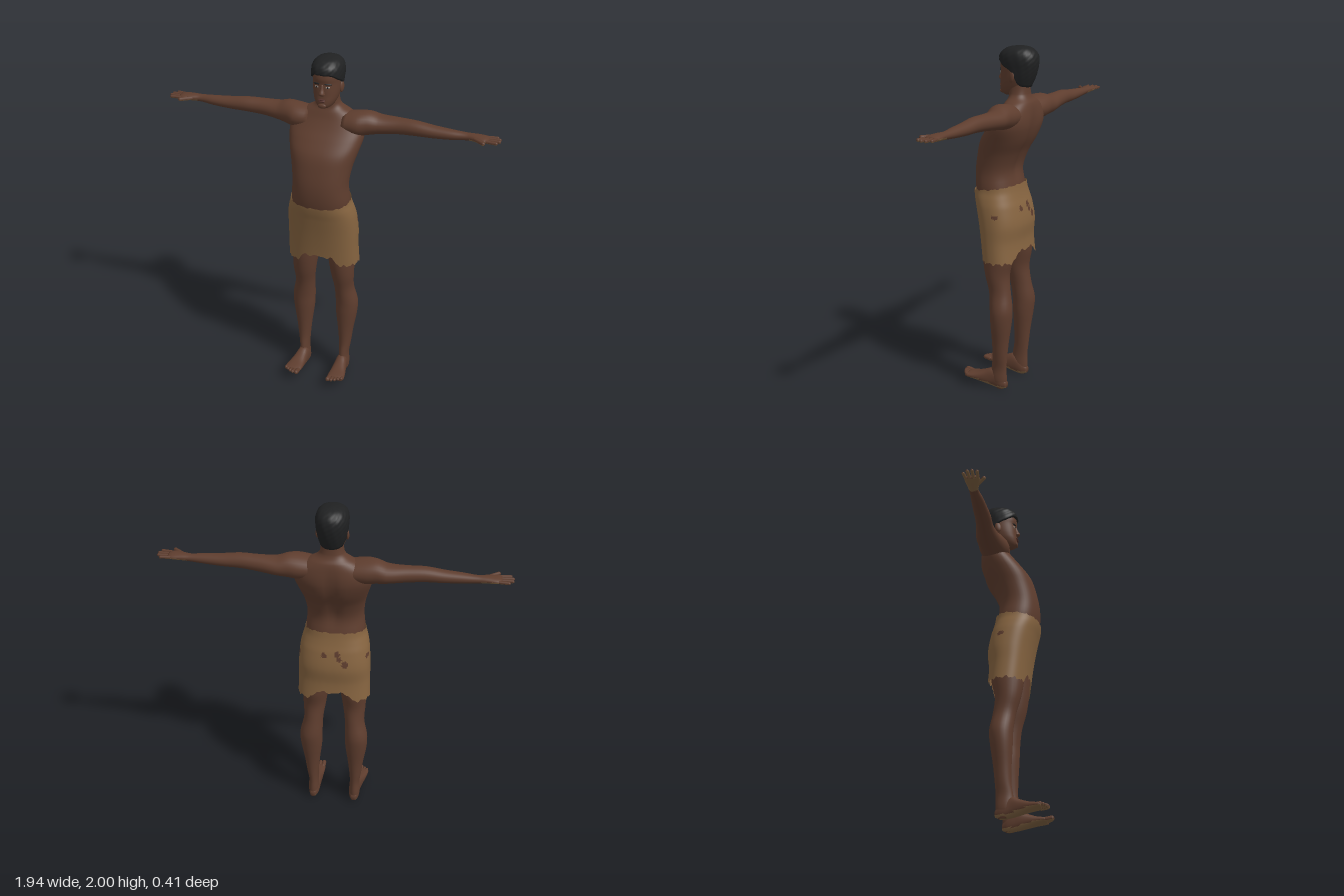
import * as THREE from 'three';

const mat = (name, color) => Object.assign(new THREE.MeshStandardMaterial({ color }), { name });
const pow = (v, e) => Math.sign(v) * Math.abs(v) ** e;
const mix = THREE.MathUtils.lerp;
const smooth = THREE.MathUtils.smoothstep;

// Smooth interpolation of a table of sections by its first column
function rowAt(rows, v) {
  let i = 0;
  while (i < rows.length - 2 && v > rows[i + 1][0]) i++;
  const a = rows[i], b = rows[i + 1], p = rows[i - 1] || a, q = rows[i + 2] || b;
  const h = b[0] - a[0], t = THREE.MathUtils.clamp((v - a[0]) / h, 0, 1);
  return a.map((_, k) => {
    if (k === 0) return v;
    const m0 = (b[k] - p[k]) / (b[0] - p[0]) * h, m1 = (q[k] - a[k]) / (q[0] - a[0]) * h;
    const t2 = t * t, t3 = t2 * t;
    return (2 * t3 - 3 * t2 + 1) * a[k] + (t3 - 2 * t2 + t) * m0 + (3 * t2 - 2 * t3) * b[k] + (t3 - t2) * m1;
  });
}

// Skin over closed rings; point(u, angle) gives a position. Ends are capped on request
function skinRings(us, seg, point, cap = true) {
  const pos = [], idx = [], n = us.length;
  for (const u of us) for (let j = 0; j < seg; j++) pos.push(...point(u, j / seg * Math.PI * 2));
  for (let i = 0; i < n - 1; i++) for (let j = 0; j < seg; j++) {
    const a = i * seg + j, b = i * seg + (j + 1) % seg;
    idx.push(a, a + seg, b, b, a + seg, b + seg);
  }
  if (cap) for (const r of [0, n - 1]) {
    const c = [0, 0, 0], k = pos.length / 3;
    for (let j = 0; j < seg; j++) for (let d = 0; d < 3; d++) c[d] += pos[(r * seg + j) * 3 + d] / seg;
    pos.push(...c);
    for (let j = 0; j < seg; j++) {
      const a = r * seg + j, b = r * seg + (j + 1) % seg;
      r ? idx.push(a, k, b) : idx.push(a, b, k);
    }
  }
  // Turn the faces outward
  const P = k => new THREE.Vector3().fromArray(pos, k * 3);
  const mid = new THREE.Vector3();
  for (let k = 0; k < pos.length / 3; k++) mid.addScaledVector(P(k), 3 / pos.length);
  let vol = 0;
  for (let k = 0; k < idx.length; k += 3)
    vol += P(idx[k]).sub(mid).dot(P(idx[k + 1]).sub(mid).cross(P(idx[k + 2]).sub(mid)));
  if (vol < 0) idx.reverse();
  const g = new THREE.BufferGeometry();
  g.setAttribute('position', new THREE.Float32BufferAttribute(pos, 3));
  g.setIndex(idx);
  g.computeVertexNormals();
  return g;
}

function loft(rows, seg, ring) {
  const us = [];
  for (let i = 0; i < rows.length - 1; i++) for (let k = 0; k < 4; k++) us.push(mix(rows[i][0], rows[i + 1][0], k / 4));
  us.push(rows.at(-1)[0]);
  return skinRings(us, seg, (u, a) => ring(rowAt(rows, u), Math.cos(a), Math.sin(a)));
}

// Split faces into two material groups by a rule on face centre and normal
function paint(g, rule) {
  const p = g.attributes.position, id = g.index.array, lists = [[], []];
  const tri = new THREE.Triangle(), c = new THREE.Vector3(), n = new THREE.Vector3();
  for (let k = 0; k < id.length; k += 3) {
    tri.setFromAttributeAndIndices(p, id[k], id[k + 1], id[k + 2]);
    tri.getMidpoint(c); tri.getNormal(n);
    lists[rule(c, n) ? 1 : 0].push(id[k], id[k + 1], id[k + 2]);
  }
  g.setIndex([...lists[0], ...lists[1]]);
  g.addGroup(0, lists[0].length, 0);
  g.addGroup(lists[0].length, lists[1].length, 1);
  return g;
}

// Finger or toe between two points
function digit(a, b, r) {
  const A = new THREE.Vector3(...a), d = new THREE.Vector3(...b).sub(A), len = d.length();
  const g = new THREE.CapsuleGeometry(r, len - r, 4, 10);
  g.applyQuaternion(new THREE.Quaternion().setFromUnitVectors(new THREE.Vector3(0, 1, 0), d.clone().normalize()));
  const c = A.addScaledVector(d, 0.5 - r / len / 2);
  return g.translate(c.x, c.y, c.z);
}

// Sections: height, half width, back z, front z
const TORSO = [[1.1, .16, -.1, .125], [1.2, .168, -.095, .148], [1.3, .16, -.082, .152], [1.4, .173, -.115, .135],
  [1.48, .195, -.16, .11], [1.55, .213, -.185, .06], [1.6, .213, -.19, .02], [1.65, .185, -.185, -.012],
  [1.69, .13, -.175, -.03], [1.715, .085, -.16, -.04], [1.74, .066, -.152, -.04], [1.8, .06, -.15, -.03]];
const HEAD = [[1.726, .022, -.06, -.005], [1.74, .043, -.11, .016], [1.77, .061, -.14, .02], [1.8, .07, -.155, .017],
  [1.83, .075, -.175, .016], [1.87, .078, -.186, .014], [1.9, .079, -.19, .018], [1.94, .075, -.185, .008],
  [1.97, .058, -.16, -.02], [1.985, .03, -.13, -.05]];
const HAIR = [[1.77, .066, -.158, .02], [1.83, .08, -.184, .024], [1.88, .086, -.199, .024], [1.92, .089, -.204, .024],
  [1.955, .084, -.197, .017], [1.98, .068, -.175, -.01], [1.993, .045, -.15, -.04], [2, .01, -.115, -.095]];
const SKIRT = [[.78, .21, -.146, .086], [.9, .206, -.137, .1], [1, .205, -.145, .116], [1.1, .197, -.13, .137],
  [1.15, .186, -.116, .15], [1.19, .174, -.107, .157], [1.24, .17, -.1, .157]];
// Limb sections: arm = x, centre y, half height, centre z, half depth
const ARM = [[.1, 1.63, .06, -.09, .08], [.18, 1.633, .07, -.09, .087], [.24, 1.638, .066, -.1, .076],
  [.3, 1.635, .053, -.11, .067], [.4, 1.64, .046, -.11, .05], [.5, 1.643, .042, -.103, .045], [.6, 1.638, .035, -.102, .04],
  [.7, 1.637, .028, -.102, .033], [.78, 1.638, .021, -.105, .025], [.83, 1.64, .02, -.1, .033],
  [.88, 1.64, .017, -.095, .042], [.905, 1.64, .01, -.095, .036]];
// Leg = y, inner x, outer x, back z, front z; foot = z, inner x, outer x, bottom, top
const LEG = [[.005, .11, .145, -.065, -.02], [.02, .1, .15, -.077, 0], [.06, .095, .158, -.082, .02], [.13, .098, .155, -.08, .015],
  [.2, .095, .165, -.085, .005], [.3, .085, .178, -.095, .006], [.42, .07, .198, -.112, .012], [.5, .068, .2, -.118, .015],
  [.6, .065, .179, -.101, .028], [.7, .05, .184, -.09, .055], [.8, .035, .186, -.11, .072], [.95, .015, .185, -.12, .08]];
const FOOT = [[-.083, .11, .142, .015, .05], [-.05, .095, .155, .002, .09], [0, .09, .158, .008, .125], [.05, .088, .168, .02, .107],
  [.1, .086, .18, .035, .089], [.15, .086, .188, .047, .079], [.168, .092, .184, .052, .073]];

const oval = e => ([y, rx, zb, zf], c, s) => [rx * pow(c, e), y, (zb + zf) / 2 + (zf - zb) / 2 * pow(s, e)];
const box = (a, b, t) => (a + b) / 2 + (b - a) / 2 * t;

export function createModel() {
  const skin = mat('skin', 0x5e3d2e), pale = mat('palmAndSole', 0x7d6040), cloth = mat('cloth', 0x866440);
  const black = mat('hair', 0x202122), white = mat('eyeWhite', 0x9a8f86), lip = mat('lips', 0x52302a);
  cloth.side = THREE.DoubleSide;
  const model = new THREE.Group();
  const add = (name, g, m) => {
    const mesh = new THREE.Mesh(g, m);
    mesh.name = name;
    model.add(mesh);
    return mesh;
  };

  // Torso with a spine groove
  add('torso', loft(TORSO, 48, (r, c, s) => {
    const p = oval(.88)(r, c, s);
    if (s < 0) p[2] += .016 * Math.exp(-((p[0] / .035) ** 2)) * smooth(r[0], 1.2, 1.35) * (1 - smooth(r[0], 1.55, 1.7));
    return p;
  }), skin);

  // Head, ears and face
  add('head', loft(HEAD, 40, oval(.9)), skin);
  const faceZ = (x, y) => {
    const [, rx, zb, zf] = rowAt(HEAD, y);
    return (zb + zf) / 2 + (zf - zb) / 2 * (1 - Math.abs(x / rx) ** (2 / .9)) ** .45;
  };
  const blob = (name, m, x, y, dz, sx, sy, sz, tilt = 0) => {
    const b = add(name, new THREE.SphereGeometry(1, 14, 10), m);
    b.position.set(x, y, faceZ(x, y) + dz);
    b.scale.set(sx, sy, sz);
    b.rotation.set(0, Math.atan2(x, .09), tilt);
  };
  const nose = [[1.804, .006, 0, .02], [1.81, .018, 0, .031], [1.82, .017, 0, .037], [1.84, .011, 0, .027], [1.868, .008, 0, .016]];
  add('nose', loft(nose, 16, oval(1)), skin);
  blob('upperLip', lip, 0, 1.783, 0, .023, .005, .007);
  blob('lowerLip', lip, 0, 1.774, 0, .021, .006, .007);
  blob('chin', skin, 0, 1.747, -.004, .024, .015, .01);
  for (const s of [1, -1]) {
    blob('eye', white, s * .031, 1.853, -.002, .013, .006, .005);
    blob('iris', black, s * .031, 1.853, .001, .005, .005, .004);
    blob('eyebrow', black, s * .033, 1.871, 0, .021, .005, .005, s * -.08);
    const ear = add('ear', new THREE.SphereGeometry(1, 14, 10), skin);
    ear.position.set(s * .079, 1.835, -.085);
    ear.scale.set(.01, .032, .019);
    ear.rotation.set(-.15, s * -.3, 0);
  }

  // Short hair with a hairline falling from brow to nape
  const line = [[-1, 1.775], [-.4, 1.795], [0, 1.862], [.5, 1.895], [.85, 1.922], [1, 1.925]];
  const steps = n => Array.from({ length: n + 1 }, (_, i) => i / n);
  add('hair', skinRings(steps(24), 56, (t, a) => {
    const s = Math.sin(a), y = mix(rowAt(line, s)[1], 2, 1 - (1 - t) ** 1.6);
    const p = oval(.9)(rowAt(HAIR, y), Math.cos(a), s);
    const bump = 1 + .018 * Math.sin(a * 14 + y * 90) * Math.sin(y * 130);
    return [p[0] * bump, y, -.09 + (p[2] + .09) * bump];
  }), black);

  // Worn wrap with a ragged hem, higher between the legs, and small holes at the back
  const holes = [[.045, 1.09, -.13, .014], [-.03, 1.1, -.13, .016], [-.045, 1.07, -.13, .013], [-.075, 1.04, -.12, .018],
    [.2, 1.06, -.05, .011], [-.195, 1.07, -.06, .012]];
  const wrap = skinRings(steps(44), 120, (t, a) => {
    const c = Math.cos(a), s = Math.sin(a);
    const rag = .006 * Math.sin(a * 17) + .004 * Math.sin(a * 31 + 1);
    const hem = .79 + .055 * (1 - smooth(Math.abs(c), .3, .6)) + rag;
    const y = mix(hem, 1.205 - .02 * s + rag * .4, t);
    return oval(.85)(rowAt(SKIRT, y), c, s);
  }, false);
  add('wrap', paint(wrap, p => holes.some(([x, y, z, r]) =>
    Math.hypot(p.x - x, (p.y - y) * .8, (p.z - z) * .4) < r)), [cloth, skin]);

  // Limbs, mirrored
  const fingers = [[.885, -.127, .95, -.134, .0085], [.89, -.107, .968, -.109, .009], [.89, -.086, .97, -.083, .009],
    [.885, -.065, .958, -.056, .009], [.83, -.075, .893, -.026, .0105]];
  const toes = [[.101, .207, .0135], [.123, .205, .01], [.142, .197, .0095], [.16, .185, .009], [.176, .172, .009]];
  const under = (p, n) => n.y < -.2 && Math.abs(p.x) > .8;
  for (const s of [1, -1]) {
    const side = s > 0 ? 'left' : 'right';
    add(side + 'Arm', paint(loft(ARM, 28, ([x, y, h, z, d], c, q) => [s * x, y + h * q, z + d * c]), under), [skin, pale]);
    for (const [x0, z0, x1, z1, r] of fingers)
      add(side + 'Finger', paint(digit([s * x0, 1.64, z0], [s * x1, 1.641, z1], r), under), [skin, pale]);
    add(side + 'Leg', loft(LEG, 28, ([y, x0, x1, zb, zf], c, q) => [s * box(x0, x1, c), y, box(zb, zf, q)]), skin);
    const sole = (p, n) => n.y < -.35;
    add(side + 'Foot', paint(loft(FOOT, 28, ([z, x0, x1, y0, y1], c, q) =>
      [s * box(x0, x1, pow(c, .85)), box(y0, y1, pow(q, .85)), z]), sole), [skin, pale]);
    for (const [x, z, r] of toes)
      add(side + 'Toe', paint(digit([s * x, .063, z - .045], [s * x, .071, z], r), sole), [skin, pale]);
  }
  return model;
}
